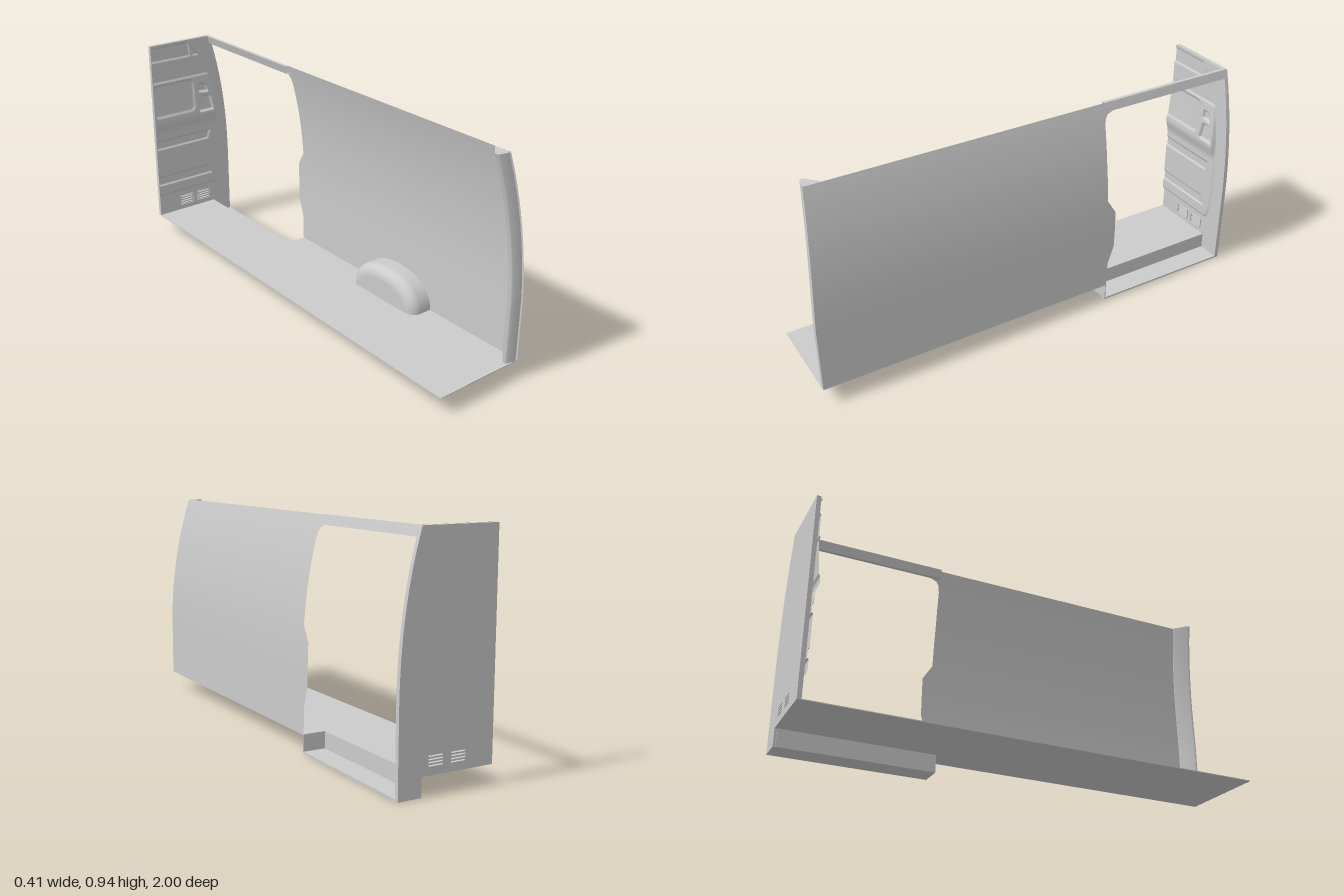
import * as THREE from 'three';

const mat = new THREE.MeshStandardMaterial({ color: 0xcccccc, side: THREE.DoubleSide });
const FLOOR = 0.077, TOP = 0.943, LEFT = -0.205, STEP_X = 0.105, STEP_Z = -0.345;

// Outer body curve (x by height) and front edge of the side (z by height)
const outer = y => 0.203 - 0.083 * Math.pow(Math.max(0, (y - 0.3) / 0.643), 2.3);
const frontZ = y => 1 - 0.045 * Math.pow(Math.max(0, (y - 0.35) / 0.593), 1.3);
const steps = (a, b, n) => Array.from({ length: n + 1 }, (_, i) => a + (b - a) * i / n);

function add(group, name, geometry) {
  const mesh = new THREE.Mesh(geometry, mat);
  mesh.name = name;
  group.add(mesh);
  return mesh;
}

// Surface through rows of points, all rows of equal length
function sheet(rows) {
  const n = rows[0].length, index = [];
  for (let i = 0; i < rows.length - 1; i++)
    for (let j = 0; j < n - 1; j++) {
      const a = i * n + j, b = a + n;
      index.push(a, a + 1, b, b, a + 1, b + 1);
    }
  const g = new THREE.BufferGeometry();
  g.setAttribute('position', new THREE.Float32BufferAttribute(rows.flat(2), 3));
  g.setIndex(index);
  g.computeVertexNormals();
  return g;
}

// Creased version: each face strip keeps its own normals
function facetedSheet(rows) {
  const g = sheet(rows).toNonIndexed();
  g.computeVertexNormals();
  return g;
}

function box(group, name, x0, x1, y0, y1, z0, z1) {
  add(group, name, new THREE.BoxGeometry(x1 - x0, y1 - y0, z1 - z0))
    .position.set((x0 + x1) / 2, (y0 + y1) / 2, (z0 + z1) / 2);
}

const shapeOf = pts => new THREE.Shape(pts.map(p => new THREE.Vector2(...p)));
const rect = (x0, x1, y0, y1) => [[x0, y0], [x1, y0], [x1, y1], [x0, y1]];
const extrude = (shape, depth) => new THREE.ExtrudeGeometry(shape, { depth, bevelEnabled: false });

// Pressed shapes of the bulkhead: convex outline (counter-clockwise), height, corner radius, edge softness
const PANEL = [[-0.4, 0.185], [0.115, 0.185], [0.132, 0.215], [0.143, 0.3], [0.143, 0.42],
  [0.128, 0.6], [0.112, 0.72], [0.1, 0.765], [-0.4, 0.765]];
const PRESSINGS = [
  [[[-0.4, 0.862], [0.005, 0.862], [-0.005, 0.933], [-0.4, 0.933]], -0.006, 0.006, 0.004],
  [[[0.015, 0.862], [0.055, 0.862], [0.012, 0.912]], -0.006, 0.004, 0.004],
  [rect(-0.4, 0.015, 0.587, 0.755), -0.006, 0.03, 0.014],
  [[[0.034, 0.676], [0.09, 0.672], [0.089, 0.685], [0.073, 0.717], [0.034, 0.717]], -0.012, 0.008, 0.004],
  [[[0.03, 0.577], [0.112, 0.577], [0.112, 0.595], [0.098, 0.655], [0.042, 0.655]], -0.012, 0.008, 0.004],
  [[[-0.4, 0.426], [0.08, 0.426], [0.097, 0.472], [-0.4, 0.472]], -0.006, 0.005, 0.004],
  [[[-0.4, 0.238], [0.097, 0.238], [0.076, 0.285], [-0.4, 0.285]], -0.006, 0.005, 0.004],
];

// 1 inside a convex outline, falling to 0 at its edge
function mask(poly, r, soft, x, y) {
  let sum = 0;
  poly.forEach(([ax, ay], i) => {
    const [bx, by] = poly[(i + 1) % poly.length];
    const dx = bx - ax, dy = by - ay;
    const d = ((x - ax) * dy - (y - ay) * dx) / Math.hypot(dx, dy);
    sum += Math.max(0, d + r) ** 2;
  });
  return 1 - THREE.MathUtils.smoothstep(Math.sqrt(sum) - r, -soft, 0);
}

function reliefZ(x, y) {
  const bulge = y < 0.57 ? THREE.MathUtils.smoothstep(y, 0.5, 0.57) : Math.max(0, (0.765 - y) / 0.195);
  let z = -0.976 + mask(PANEL, 0.012, 0.006, x, y) * (0.005 + 0.015 * bulge);
  for (const [poly, h, r, soft] of PRESSINGS) z += h * mask(poly, r, soft, x, y);
  return z;
}

function buildBulkhead() {
  const g = new THREE.Group();
  g.name = 'bulkhead';

  // Flat skin with louvre slots
  const skin = shapeOf([[LEFT, FLOOR], [STEP_X, FLOOR], [STEP_X, 0], [0.203, 0],
    ...steps(0, TOP, 40).slice(1).map(y => [outer(y), y]), [LEFT, TOP]]);
  for (const x of [-0.052, 0.046])
    for (let i = 0; i < 4; i++) {
      const y = 0.108 + i * 0.0115;
      skin.holes.push(shapeOf(rect(x - 0.031, x + 0.031, y, y + 0.005)));
    }
  add(g, 'bulkheadSkin', extrude(skin, 0.018)).position.z = -1;

  // Raised rims around the louvres
  for (const x of [-0.052, 0.046]) {
    const rim = shapeOf(rect(x - 0.037, x + 0.037, 0.1, 0.152));
    rim.holes.push(shapeOf(rect(x - 0.034, x + 0.034, 0.103, 0.149)));
    add(g, 'ventRim', extrude(rim, 0.004)).position.z = -0.982;
  }

  // Pressed inner panel
  add(g, 'bulkheadPressing', sheet(steps(0.184, TOP, 210).map(y =>
    steps(LEFT, outer(y) - 0.012, 110).map(x => [x, y, reliefZ(x, y)]))));
  return g;
}

function buildSide() {
  const g = new THREE.Group();
  g.name = 'side';

  // Side wall up to the contoured front edge of the door opening
  const edge = [[FLOOR, -0.345], [0.19, -0.347], [0.28, -0.376], [0.45, -0.377], [0.515, -0.336],
    [0.7, -0.336], [0.85, -0.34], [0.88, -0.346], [0.895, -0.358], [0.905, -0.385]];
  const doorZ = y => {
    const i = Math.max(1, edge.findIndex(e => e[0] >= y - 1e-9));
    const [a, b] = [edge[i - 1], edge[i]];
    return a[1] + (b[1] - a[1]) * (y - a[0]) / (b[0] - a[0]);
  };
  const ys = [...steps(FLOOR, 0.905, 60), ...edge.map(e => e[0])].sort((a, b) => a - b)
    .filter((y, i, all) => i === 0 || y - all[i - 1] > 1e-6);
  const wall = ys.map(y => [[outer(y), y, frontZ(y)], [outer(y), y, doorZ(y)]]);
  add(g, 'sideWall', sheet(wall));
  add(g, 'upperWall', sheet(steps(0.905, TOP, 5).map(y =>
    [[outer(y), y, frontZ(y)], [outer(y), y, -0.385]])));

  // Header rail above the door
  const rail = [[outer(0.905), 0.905], [outer(0.925), 0.925], [outer(TOP), TOP],
    [STEP_X, TOP], [0.117, 0.905], [outer(0.905), 0.905]];
  add(g, 'doorHeader', facetedSheet([-0.345, -1].map(z => rail.map(([x, y]) => [x, y, z]))));

  // Front pillar: rounded front, slanted rear face
  const section = [[0, -0.07], [0, -0.02], [-0.002, -0.008], [-0.008, -0.001], [-0.018, 0], [-0.035, -0.004],
    [-0.05, -0.008], [-0.056, -0.013], [-0.056, -0.024], [-0.006, -0.07], [0, -0.07]];
  const rings = steps(FLOOR, TOP, 40).map(y => section.map(([dx, dz]) => [outer(y) + dx, y, frontZ(y) + dz]));
  add(g, 'frontPillar', sheet(rings));
  const top = rings[rings.length - 1];
  add(g, 'pillarCap', sheet([top, top.map(() => [outer(TOP) - 0.025, TOP, frontZ(TOP) - 0.028])]));
  return g;
}

function buildWheelArch() {
  // Inward profile: x position and scale of the arch outline
  const profile = [[0.202, 1], [0.148, 1]];
  for (const a of steps(0, Math.PI / 2, 10).slice(1))
    profile.push([0.148 - 0.045 * Math.sin(a), 0.66 + 0.34 * Math.cos(a)]);
  const rows = profile.map(([x, k]) => steps(0, Math.PI, 40).map(a => [
    x,
    FLOOR + 0.14 * k * Math.pow(Math.max(0, Math.sin(a)), 0.85),
    0.325 + 0.195 * (0.3 + 0.7 * k) * Math.sign(Math.cos(a)) * Math.pow(Math.abs(Math.cos(a)), 0.9),
  ]));
  const last = rows[rows.length - 1];
  const g = new THREE.Group();
  g.name = 'wheelArch';
  add(g, 'archShell', sheet(rows));
  add(g, 'archFace', sheet([last, last.map(([x, , z]) => [x, FLOOR, z])]));
  return g;
}

function buildFloor() {
  const g = new THREE.Group();
  g.name = 'floor';
  // Floor plate with a notch for the entry step (drawn in x, -z)
  const plate = shapeOf([[LEFT, -1], [0.202, -1], [0.202, -STEP_Z], [STEP_X, -STEP_Z],
    [STEP_X, 1], [LEFT, 1]]);
  const geo = extrude(plate, 0.004).rotateX(-Math.PI / 2);
  add(g, 'floorPlate', geo).position.y = FLOOR - 0.002;

  // Entry step
  box(g, 'stepTread', STEP_X, 0.203, 0, 0.008, -0.99, STEP_Z);
  box(g, 'stepRiser', STEP_X - 0.003, STEP_X, 0, FLOOR, -0.99, STEP_Z);
  box(g, 'stepEnd', STEP_X - 0.003, 0.203, 0, FLOOR, STEP_Z, STEP_Z + 0.004);
  return g;
}

export function createModel() {
  const model = new THREE.Group();
  model.name = 'vanSideSection';
  model.add(buildFloor(), buildBulkhead(), buildSide(), buildWheelArch());
  return model;
}
